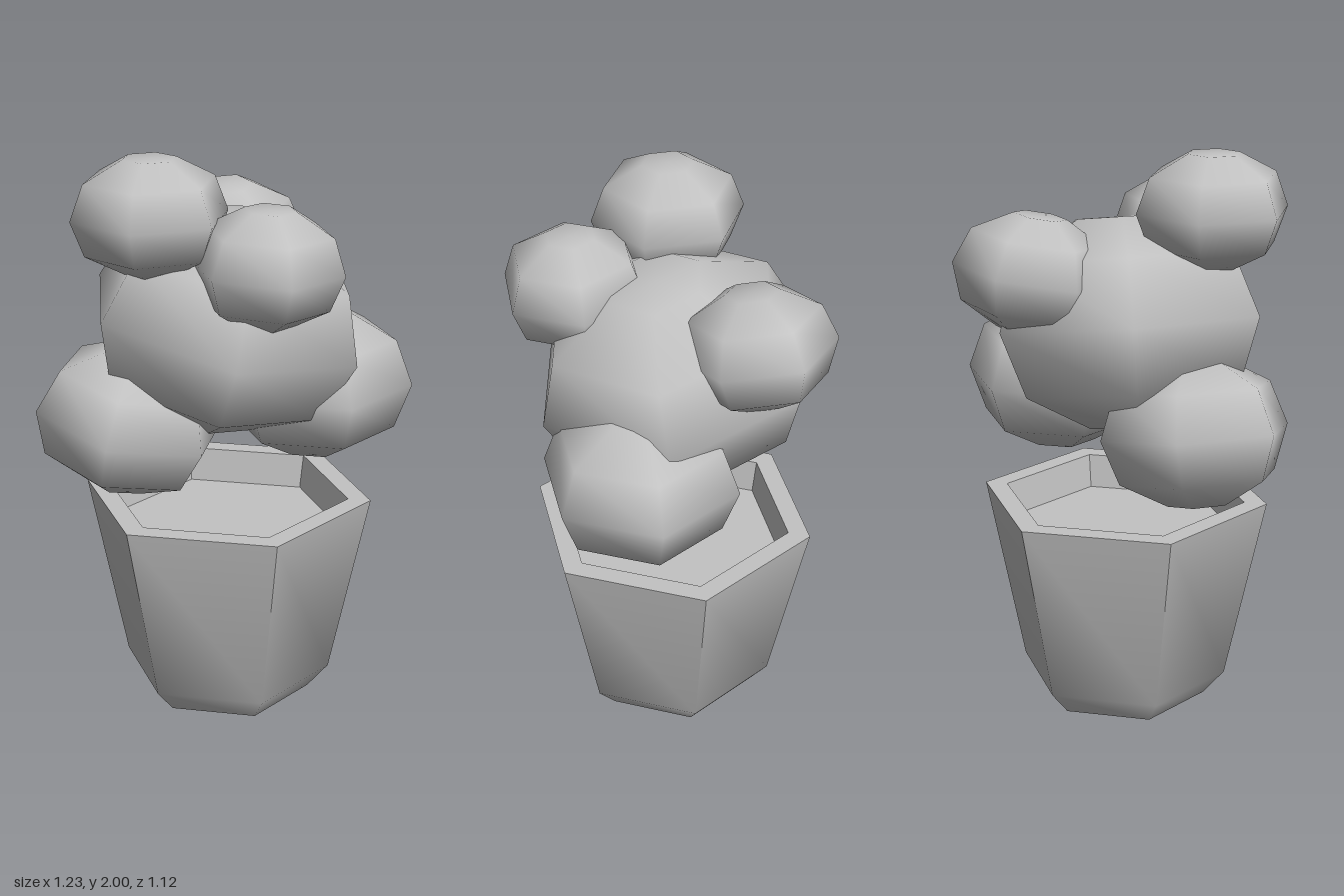
import * as THREE from 'three';

const rad = THREE.MathUtils.degToRad;
const v2 = (list) => list.map(([x, y]) => new THREE.Vector2(x, y));

// six-sided rounded clump, profile in units of radius and half height
const CLUMP = [[0, -1], [0.34, -1], [0.83, -0.63], [1, 0], [0.83, 0.63], [0.34, 1], [0, 1]];

// name, centre, radius, half height, corner angle from +x towards +z, tilts about x and z
const CLUMPS = [
  ['mainFoliage', [-0.02, 1.395, 0.04], 0.503, 0.36, 14.5, 0, -12],
  ['lowerRightFoliage', [-0.325, 1.07, 0.19], 0.338, 0.245, 30, 0, -12],
  ['lowerLeftFoliage', [0.27, 1.145, -0.115], 0.348, 0.255, 0, 0, 0],
  ['upperRightFoliage', [-0.222, 1.81, 0.277], 0.27, 0.19, 90, 0, 0],
  ['upperLeftFoliage', [0.175, 1.665, 0.315], 0.258, 0.193, 3, 0, -3],
  ['upperBackFoliage', [-0.075, 1.602, -0.312], 0.268, 0.195, -19, 10, 0],
];

export function createModel() {
  const model = new THREE.Group();
  model.name = 'pottedPlant';
  const grey = new THREE.MeshStandardMaterial({ color: 0xc2c2c2 });
  grey.name = 'grey';

  const add = (parent, name, geometry) => {
    const mesh = new THREE.Mesh(geometry, grey);
    mesh.name = name;
    parent.add(mesh);
    return mesh;
  };
  const hexLathe = (points, angle = 0) =>
    new THREE.LatheGeometry(v2(points), 6, rad(90 - angle));
  const flat = (geometry) => {
    const g = geometry.toNonIndexed();
    g.computeVertexNormals();
    return g;
  };

  // foliage
  const foliage = new THREE.Group();
  foliage.name = 'foliage';
  model.add(foliage);
  for (const [name, centre, r, h, angle, tiltX, tiltZ] of CLUMPS) {
    const clump = add(foliage, name, hexLathe(CLUMP.map(([x, y]) => [x * r, y * h]), angle));
    clump.position.set(...centre);
    clump.rotation.set(rad(tiltX), 0, rad(tiltZ));
  }

  // pot
  const pot = new THREE.Group();
  pot.name = 'pot';
  pot.position.set(-0.015, 0, 0.035);
  model.add(pot);

  // outer wall: crisp corners at the rim that soften towards the base
  const wall = flat(hexLathe([[0.3, 0], [0.375, 0.09], [0.515, 0.757]]));
  const p = wall.attributes.position;
  const n = new THREE.Vector3();
  for (let i = 0; i < p.count; i++) {
    const y = p.getY(i);
    if (y > 0.5) continue;
    n.set(p.getX(i), 0, p.getZ(i)).normalize();
    n.y = y < 0.05 ? -0.8 : -0.45;
    n.normalize();
    wall.attributes.normal.setXYZ(i, n.x, n.y, n.z);
  }
  add(pot, 'potWall', wall);
  add(pot, 'potBase', flat(hexLathe([[0, 0], [0.3, 0]])));
  add(pot, 'potRim', flat(hexLathe([[0.515, 0.757], [0.435, 0.757], [0.415, 0.635]])));
  add(pot, 'soil', flat(hexLathe([[0.415, 0.635], [0, 0.635]])));

  return model;
}
